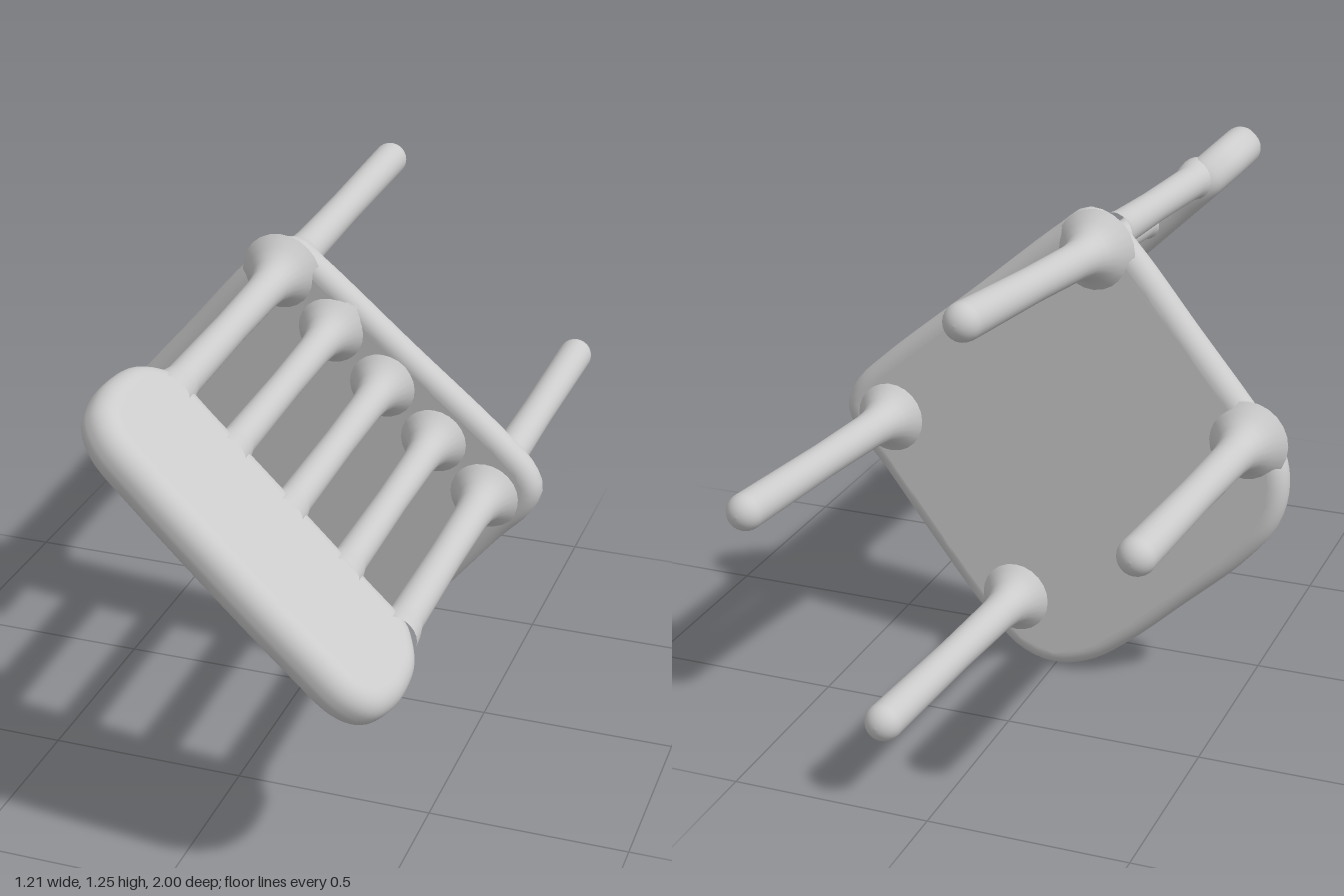
import * as THREE from 'three';
import { mergeVertices } from 'three/addons/utils/BufferGeometryUtils.js';

const material = new THREE.MeshStandardMaterial({ color: 0xcccccc });
const v3 = (p) => new THREE.Vector3(...p);

function addMesh(parent, name, geometry) {
  const mesh = new THREE.Mesh(geometry, material);
  mesh.name = name;
  parent.add(mesh);
  return mesh;
}

// Softly rounded slab from a closed smooth outline, centred on its local z
function softSlab(points, thickness, round) {
  const curve = new THREE.CatmullRomCurve3(points.map(([x, y]) => v3([x, y, 0])), true, 'centripetal');
  const outline = curve.getSpacedPoints(120).slice(0, -1).map((p) => new THREE.Vector2(p.x, p.y));
  let geo = new THREE.ExtrudeGeometry(new THREE.Shape(outline), {
    depth: thickness - 2 * round, bevelEnabled: true, bevelThickness: round,
    bevelSize: round, bevelOffset: -round, bevelSegments: 8,
  });
  geo.translate(0, 0, round - thickness / 2);
  geo.deleteAttribute('normal');
  geo.deleteAttribute('uv');
  geo = mergeVertices(geo, 1e-4);
  geo.computeVertexNormals();
  return geo;
}

// Round rod from a to b: flared foot at a, and either a flare or a domed tip at b
function rod(a, b, r, flareEnd) {
  const start = v3(a), dir = v3(b).sub(start), len = dir.length();
  const foot = [[r + 0.06, 0.03], [r + 0.035, 0.055], [r + 0.014, 0.085], [r + 0.004, 0.12], [r, 0.17]];
  const profile = foot.map(([x, y]) => new THREE.Vector2(x, y));
  profile.push(new THREE.Vector2(r * 0.94, len * 0.5));
  if (flareEnd) {
    profile.push(new THREE.Vector2(r, len - 0.08), new THREE.Vector2(r + 0.008, len - 0.04), new THREE.Vector2(r + 0.012, len));
  } else {
    for (let i = 0; i <= 8; i++) {
      const t = (i / 8) * Math.PI / 2;
      profile.push(new THREE.Vector2(r * Math.cos(t), len - r + r * Math.sin(t)));
    }
  }
  const geo = new THREE.LatheGeometry(profile, 24);
  geo.applyQuaternion(new THREE.Quaternion().setFromUnitVectors(new THREE.Vector3(0, 1, 0), dir.normalize()));
  return geo.translate(start.x, start.y, start.z);
}

export function createModel() {
  const chair = new THREE.Group();
  chair.name = 'tippedChair';

  // Seat: rounded square standing on one corner, slightly tilted
  const seatGeo = softSlab([
    [0, 0.003], [0.1, 0.028], [0.2, 0.115], [0.35, 0.29], [0.5, 0.475], [0.58, 0.565],
    [0.605, 0.63], [0.58, 0.695], [0.5, 0.775], [0.25, 0.985], [0.02, 1.18], [-0.05, 1.23],
    [-0.12, 1.215], [-0.2, 1.14], [-0.35, 0.965], [-0.53, 0.755], [-0.59, 0.67], [-0.605, 0.58],
    [-0.58, 0.48], [-0.5, 0.375], [-0.35, 0.235], [-0.2, 0.1], [-0.1, 0.03],
  ], 0.09, 0.042);
  const pos = seatGeo.attributes.position;
  const seatZ = (x, y) => -0.12 + 0.033 * x + 0.055 * (y - 0.6);
  for (let i = 0; i < pos.count; i++) pos.setZ(i, pos.getZ(i) + seatZ(pos.getX(i), pos.getY(i)));
  seatGeo.computeVertexNormals();
  addMesh(chair, 'seat', seatGeo);

  // Four legs running backwards from the seat corners: [x, y] at seat, then tip
  const legs = new THREE.Group();
  legs.name = 'legs';
  chair.add(legs);
  [
    [-0.09, 1.13, [-0.05, 1.2, -0.9]],
    [-0.5, 0.7, [-0.485, 0.74, -0.975]],
    [0.465, 0.62, [0.495, 0.67, -0.935]],
    [0.105, 0.18, [0.125, 0.22, -1.0]],
  ].forEach(([x, y, tip], i) => addMesh(legs, `leg${i + 1}`, rod([x, y, seatZ(x, y)], tip, 0.046, false)));

  // Five spindles between seat edge and crest board
  const spindles = new THREE.Group();
  spindles.name = 'backSpindles';
  chair.add(spindles);
  for (let i = 0; i < 5; i++) {
    const t = i / 4;
    const x = -0.085 + 0.55 * t, y = 1.145 - 0.535 * t;
    const end = [-0.1 + 0.55 * t, 1.1 - 0.525 * t, 0.66];
    addMesh(spindles, `spindle${i + 1}`, rod([x, y, seatZ(x, y)], end, i % 4 ? 0.042 : 0.045, true));
  }

  // Crest board: narrower at the spindles, rounded at the outer corners
  const half = [[0.25, 0.6], [0.4, 0.605], [0.44, 0.64], [0.475, 0.7], [0.487, 0.78], [0.483, 0.86],
    [0.455, 0.94], [0.39, 0.987], [0.25, 1.0]];
  const mirrored = half.slice().reverse().map(([s, z]) => [-s, z]);
  const board = addMesh(chair, 'crestBoard', softSlab([...half, ...mirrored], 0.112, 0.05));
  board.applyMatrix4(new THREE.Matrix4().makeBasis(
    v3([0.718, -0.696, 0]), v3([0, 0, 1]), v3([-0.696, -0.718, 0]),
  ).setPosition(0.155, 0.836, 0));

  return chair;
}
